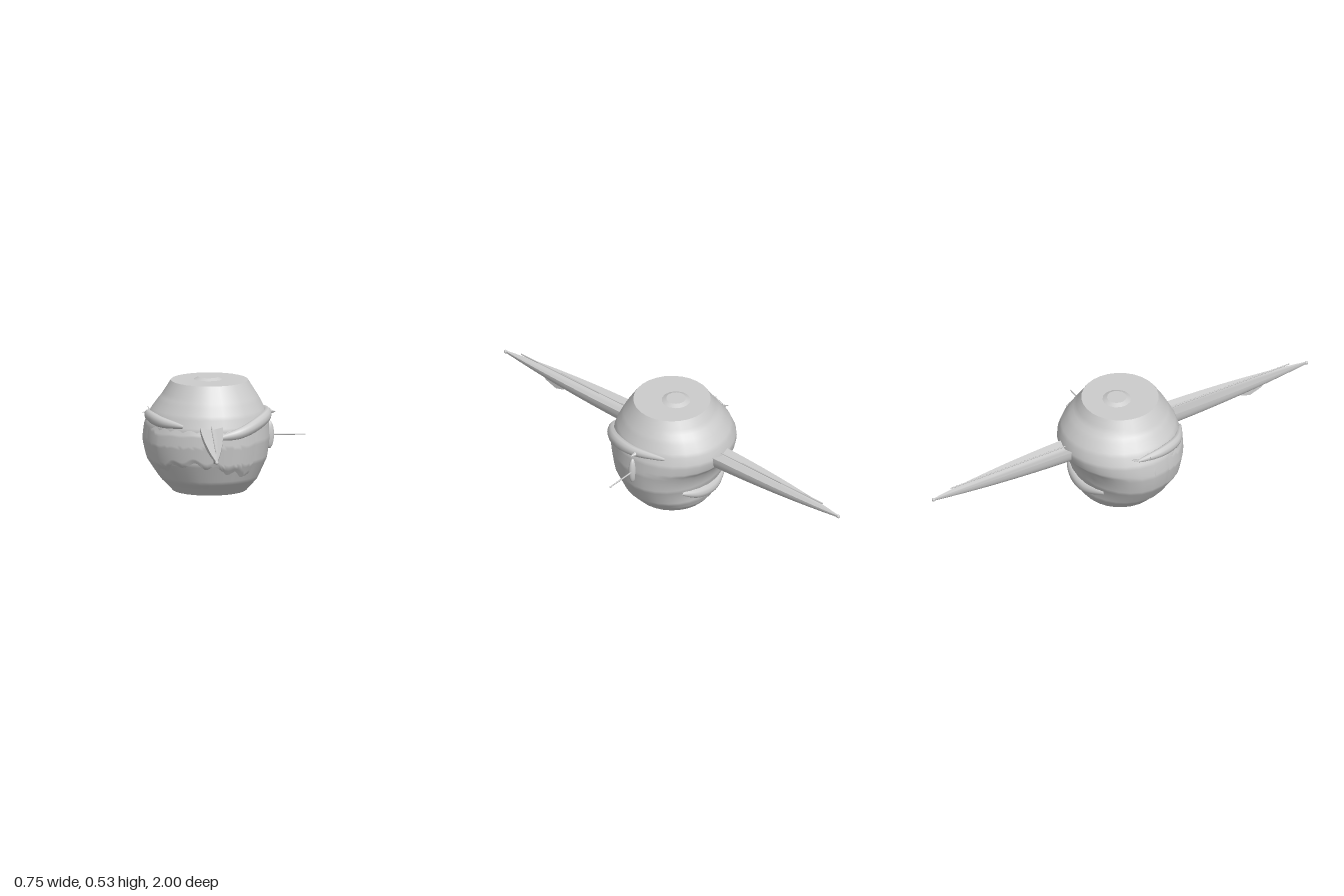
import * as THREE from 'three';
import { ParametricGeometry } from 'three/addons/geometries/ParametricGeometry.js';

const CX = -0.065; // axis of the round body
const PROFILE = [[0.012, 0.17], [0.07, 0.222], [0.16, 0.263], [0.25, 0.276], [0.33, 0.272],
  [0.385, 0.255], [0.44, 0.227], [0.52, 0.177]];

function radiusAt(y) {
  for (let i = 1; i < PROFILE.length; i++) {
    const [y0, r0] = PROFILE[i - 1], [y1, r1] = PROFILE[i];
    if (y <= y1) return r0 + (r1 - r0) * (y - y0) / (y1 - y0);
  }
  return 0.177;
}
const bump = (y, c, w) => Math.max(0, 1 - ((y - c) / w) ** 2);

// Point on the body: theta 0 is the front, PI / 2 is +x
function bodyPoint(theta, y, offset, target) {
  const s = Math.sin(theta), c = Math.cos(theta);
  const r = radiusAt(y) + offset;
  let x = r * s, z = r * c;
  if (s < 0) x *= 1 + 0.11 * bump(y, 0.25, 0.2); // fuller on one side
  if (c < 0) z *= 1 + 0.1 * bump(y, 0.37, 0.11) - 0.14 * bump(y, 0.16, 0.12); // nape
  return target.set(CX + x, y, z);
}

export function createModel() {
  const model = new THREE.Group();
  const grey = new THREE.MeshStandardMaterial({ color: 0xcccccc });
  const thin = new THREE.MeshStandardMaterial({ color: 0xcccccc, side: THREE.DoubleSide });
  const add = (name, geo, x = 0, y = 0, z = 0, mat = grey, parent = model) => {
    const mesh = new THREE.Mesh(geo, mat);
    mesh.name = name;
    mesh.position.set(x, y, z);
    parent.add(mesh);
    return mesh;
  };
  const ellipsoid = (rx, ry, rz) => new THREE.SphereGeometry(1, 20, 12).scale(rx, ry, rz);

  // Round body with flat ends
  add('body', new ParametricGeometry((u, v, p) =>
    bodyPoint(u * Math.PI * 2, 0.012 + v * 0.508, 0, p), 28, 28));
  add('topFace', new THREE.CircleGeometry(0.177, 28).rotateX(-Math.PI / 2), CX, 0.52, 0);
  add('bottomFace', new THREE.CircleGeometry(0.17, 28).rotateX(Math.PI / 2), CX, 0.012, 0);
  add('topButton', new THREE.CylinderGeometry(0.045, 0.066, 0.01, 14), CX - 0.005, 0.525, -0.02);
  add('bottomButton', new THREE.CylinderGeometry(0.066, 0.03, 0.012, 14), CX - 0.01, 0.006, 0);

  // Thin raised layer over the front with a ragged lower edge
  add('frontLayer', new ParametricGeometry((u, v, p) => {
    const a = -1.3 + u * 2.2;
    const low = 0.13 + 0.03 * Math.sin(a * 3 + 2.5) + 0.012 * Math.sin(a * 17);
    const edge = Math.min(1, 6 * Math.min(u, 1 - u, v, 1 - v));
    bodyPoint(a, low + v * (0.33 - low), -0.003 + 0.008 * edge, p);
  }, 48, 16), 0, 0, 0, thin);

  // Tapered band wrapped around the body: stops are [theta, y]
  function band(name, stops, thick) {
    const curve = new THREE.CatmullRomCurve3(
      stops.map(([a, y]) => bodyPoint(a, y, 0.003, new THREE.Vector3())));
    const c = new THREE.Vector3();
    add(name, new ParametricGeometry((u, v, p) => {
      curve.getPoint(v, c);
      const r = thick * Math.pow(Math.sin(Math.PI * (0.03 + 0.94 * v)), 0.6);
      const a = -u * Math.PI * 2;
      const out = new THREE.Vector3(c.x - CX, 0, c.z).normalize();
      p.copy(c).addScaledVector(out, Math.cos(a) * r * 0.8);
      p.y += Math.sin(a) * r;
    }, 10, 32), 0, 0, 0, thin);
  }
  band('leftBand', [[0.1, 0.295], [0.5, 0.315], [1.0, 0.35], [1.5, 0.367], [2.1, 0.37]], 0.031);
  band('rightBand', [[-0.45, 0.345], [-0.9, 0.355], [-1.35, 0.365], [-1.8, 0.36]], 0.027);
  band('napeRoll', [[2.55, 0.15], [2.9, 0.125], [3.3, 0.115], [3.75, 0.14]], 0.03);

  // Pointed ends of the band on both sides
  for (const side of [1, -1]) {
    const tip = add(side > 0 ? 'leftBandPoint' : 'rightBandPoint',
      new THREE.ConeGeometry(0.028, 0.07, 8), CX + side * 0.27, 0.368, -0.01);
    tip.rotation.z = -side * Math.PI / 2;
  }
  const tail = add('bandTail', new THREE.ConeGeometry(0.015, 0.09, 6), -0.335, 0.36, -0.07);
  tail.rotation.set(-1.1, 0, 0.2);

  // Side discs and the needle
  add('leftSideDisc', ellipsoid(0.022, 0.065, 0.017), 0.208, 0.265, 0.005);
  add('rightSideDisc', ellipsoid(0.022, 0.065, 0.017), -0.348, 0.265, 0.005);
  add('needle', new THREE.CylinderGeometry(0.003, 0.004, 0.16, 8).rotateZ(-Math.PI / 2), 0.294, 0.264, 0);

  // Boat-shaped spike, used at the front and turned round for the back
  const halfWidth = z => 0.052 * (1 - Math.pow(z, 2.5)) + 0.002;
  const deckY = z => 0.348 - 0.024 * z * z;
  const keelY = z => 0.265 + 0.05 * z * z;
  const zAt = v => 0.18 + 0.815 * v;
  for (const end of ['front', 'back']) {
    const spike = new THREE.Group();
    spike.name = end + 'Spike';
    add('hull', new ParametricGeometry((u, v, p) => {
      const z = zAt(v), a = Math.PI * u;
      p.set(-Math.cos(a) * halfWidth(z),
        deckY(z) - Math.pow(Math.sin(a), 0.8) * (deckY(z) - keelY(z)), z);
    }, 16, 24), 0, 0, 0, thin, spike);
    add('deck', new ParametricGeometry((u, v, p) => {
      const z = zAt(v), k = 2 * u - 1;
      p.set(k * halfWidth(z), deckY(z) - 0.22 * (1 - Math.abs(k)) * halfWidth(z), z);
    }, 4, 24), 0, 0, 0, thin, spike);
    add('ridgeRod', new THREE.CylinderGeometry(0.003, 0.003, 0.7, 6).rotateX(Math.PI / 2),
      0, 0.349, 0.55, grey, spike);
    add('tipBall', ellipsoid(0.008, 0.009, 0.008), 0, 0.32, 0.992, grey, spike);
    spike.position.x = CX;
    if (end === 'back') spike.rotation.y = Math.PI;
    model.add(spike);
  }

  // Small fin under the front spike
  const fin = new THREE.Shape([[0.61, 0.295], [0.77, 0.3], [0.75, 0.278], [0.69, 0.257], [0.65, 0.268]]
    .map(([z, y]) => new THREE.Vector2(-z, y)));
  add('fin', new THREE.ExtrudeGeometry(fin, { depth: 0.008, bevelEnabled: false })
    .translate(0, 0, -0.004).rotateY(Math.PI / 2), CX, 0, 0);

  // Hanging drop on the front
  const drop = [[0, -0.02], [0.01, -0.016], [0.014, -0.006], [0.011, 0.006], [0.004, 0.018], [0.002, 0.035]]
    .map(([r, y]) => new THREE.Vector2(r, y));
  add('drop', new THREE.LatheGeometry(drop, 14), CX, 0.243, 0.288, thin);

  return model;
}
